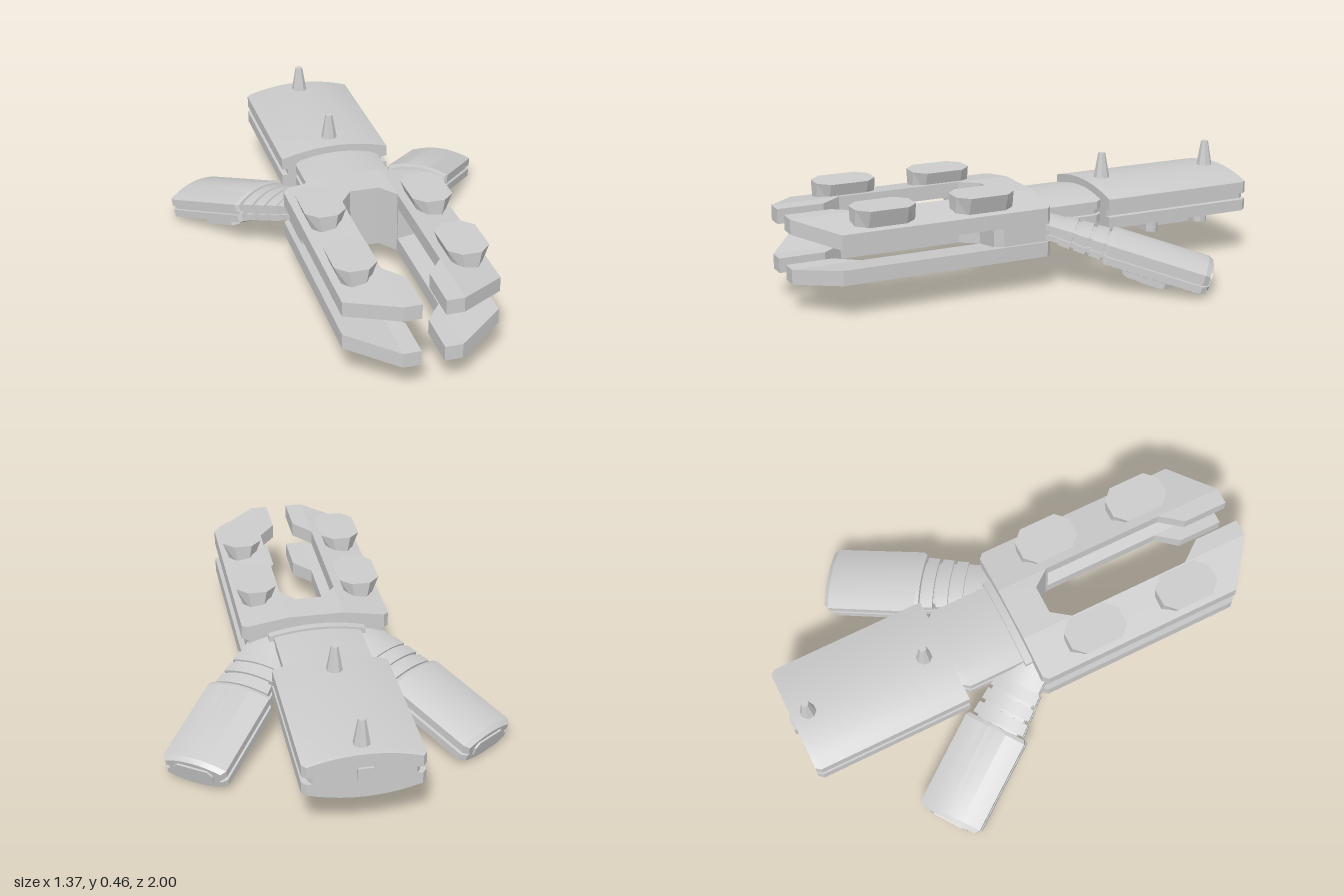
import * as THREE from 'three';
import { toCreasedNormals } from 'three/addons/utils/BufferGeometryUtils.js';

const grey = new THREE.MeshStandardMaterial({ color: 0xcccccc });
const FOLD = 0.115; // half width of the level middle of the fork plates

function add(parent, name, geometry, x = 0, y = 0, z = 0) {
  const mesh = new THREE.Mesh(geometry, grey);
  mesh.name = name;
  mesh.position.set(x, y, z);
  parent.add(mesh);
  return mesh;
}

const box = (w, h, d) => new THREE.BoxGeometry(w, h, d);

// Horizontal plate from an [x, z] outline; place(point, isTop) moves each vertex
function plate(outline, place) {
  const shape = new THREE.Shape(outline.map(([x, z]) => new THREE.Vector2(x, -z)));
  const g = new THREE.ExtrudeGeometry(shape, { depth: 1, bevelEnabled: false });
  g.rotateX(-Math.PI / 2);
  const pos = g.attributes.position, p = new THREE.Vector3();
  for (let i = 0; i < pos.count; i++) {
    p.fromBufferAttribute(pos, i);
    place(p, p.y > 0.5);
    pos.setXYZ(i, p.x, p.y, p.z);
  }
  g.computeVertexNormals();
  return g;
}

// Plate whose top and bottom slope away outside the fold
const folded = (outline, bottom, top, bottomSlope, topSlope) => plate(outline, (p, isTop) => {
  const out = Math.max(0, Math.abs(p.x) - FOLD);
  p.y = isTop ? top + topSlope * out : bottom + bottomSlope * out;
});

// Hull section: arched top and bottom, straight sides with a groove along each
function hullSection(w, top, edge, groove, inset) {
  const s = new THREE.Shape();
  s.moveTo(w, -edge);
  s.lineTo(w, -groove);
  s.lineTo(w - inset, -groove);
  s.lineTo(w - inset, groove);
  s.lineTo(w, groove);
  s.lineTo(w, edge);
  s.quadraticCurveTo(0, 2 * top - edge, -w, edge);
  s.lineTo(-w, groove);
  s.lineTo(-w + inset, groove);
  s.lineTo(-w + inset, -groove);
  s.lineTo(-w, -groove);
  s.lineTo(-w, -edge);
  s.quadraticCurveTo(0, edge - 2 * top, w, -edge);
  return s;
}

// Section swept along z through layers [z, scaleX, scaleY], with z rising
function loft(section, layers) {
  const n = layers.length - 1;
  const g = new THREE.ExtrudeGeometry(section, { depth: n, steps: n, bevelEnabled: false, curveSegments: 10 });
  const pos = g.attributes.position;
  for (let i = 0; i < pos.count; i++) {
    const [z, sx, sy] = layers[Math.round(pos.getZ(i))];
    pos.setXYZ(i, pos.getX(i) * sx, pos.getY(i) * sy, z);
  }
  return toCreasedNormals(g, 0.35);
}

function chamferedRect(x, z, w, d, c) {
  return [[x - w + c, z - d], [x + w - c, z - d], [x + w, z - d + c], [x + w, z + d - c],
    [x + w - c, z + d], [x - w + c, z + d], [x - w, z + d - c], [x - w, z - d + c]];
}

function buildFork() {
  const fork = new THREE.Group();
  fork.name = 'fork';
  const arm = [[FOLD, -0.02], [0.285, -0.02], [0.305, 0], [0.305, 0.86], [FOLD, 1]];
  const tip = [[0.045, 0.81], [FOLD, 0.72], [FOLD, 1], [0.045, 1]];
  const bridge = [[-FOLD, -0.02], [FOLD, -0.02], [FOLD, 0.2], [0.06, 0.125], [-0.06, 0.125], [-FOLD, 0.2]];
  const coreSide = [[FOLD, -0.02], [0.28, -0.02], [0.28, 0.18], [0.25, 0.21], [FOLD, 0.21]];
  const mirror = (outline, side) => outline.map(([x, z]) => [x * side, z]);

  // Two forked plates, the lower one upside down
  for (const [name, bottom, top, slope] of [['upper', 0.33, 0.39, -0.16], ['lower', 0.13, 0.19, 0.16]]) {
    add(fork, name + 'Bridge', folded(bridge, bottom, top, slope, slope));
    for (const side of [1, -1]) {
      add(fork, name + 'Arm', folded(mirror(arm, side), bottom, top, slope, slope));
      add(fork, name + 'ArmTip', folded(mirror(tip, side), bottom, top, slope, slope));
    }
  }

  // Core joining the plates
  add(fork, 'coreMiddle', folded(bridge, 0.19, 0.33, 0, 0));
  for (const side of [1, -1]) {
    add(fork, 'coreSide', folded(mirror(coreSide, side), 0.19, 0.33, 0.16, -0.16));
    // Flared pads on the upper arms
    for (const z of [0.25, 0.665]) {
      const cx = 0.218 * side;
      add(fork, 'pad', plate(chamferedRect(cx, z, 0.083, 0.123, 0.045), (p, isTop) => {
        if (!isTop) p.x = cx + (p.x - cx) * 0.62;
        p.y = isTop ? 0.435 : 0.35;
      }));
    }
  }
  return fork;
}

function buildHull() {
  const hull = new THREE.Group();
  hull.name = 'hull';
  hull.position.y = 0.275;
  add(hull, 'rearHull', loft(hullSection(0.232, 0.096, 0.062, 0.014, 0.025),
    [[-0.99, 0.93, 0.97], [-0.97, 1, 1], [-0.32, 1, 1]]));
  add(hull, 'neck', loft(hullSection(0.18, 0.065, 0.045, 0.012, 0.02),
    [[-0.335, 0.8, 1], [-0.29, 1, 1], [-0.03, 1, 1]]));
  add(hull, 'neckFlange', loft(hullSection(0.2, 0.075, 0.05, 0.012, 0.02), [[-0.052, 1, 1], [-0.015, 1, 1]]));

  // Spikes on the back
  for (const z of [-0.41, -0.92]) {
    add(hull, 'spike', new THREE.CylinderGeometry(0.015, 0.036, 0.12, 8).rotateY(Math.PI / 8).toNonIndexed(), 0, 0.14, z)
      .geometry.computeVertexNormals();
  }
  add(hull, 'rearBoss', box(0.06, 0.055, 0.03), 0, 0.01, -0.985);
  add(hull, 'rearBossCap', box(0.03, 0.03, 0.02), 0, 0.01, -0.99);

  // Underside rack
  add(hull, 'rackFrontBar', plate(chamferedRect(0, -0.585, 0.15, 0.028, 0.02), (p, t) => { p.y = t ? -0.07 : -0.13; }));
  add(hull, 'rackRearBar', plate(chamferedRect(0, -0.825, 0.15, 0.032, 0.02), (p, t) => { p.y = t ? -0.07 : -0.115; }));
  for (const x of [-0.06, 0, 0.06]) add(hull, 'rackRib', box(0.035, 0.06, 0.22), x, -0.098, -0.69);
  return hull;
}

// Side pod pointing along its own -z
function buildPod(side) {
  const pod = new THREE.Group();
  pod.name = side > 0 ? 'leftPod' : 'rightPod';
  pod.position.set(0.19 * side, 0.262, -0.03);
  pod.rotation.set(THREE.MathUtils.degToRad(-15.5), THREE.MathUtils.degToRad(-35) * side, 0, 'YXZ');

  add(pod, 'podBody', loft(hullSection(0.135, 0.066, 0.04, 0.009, 0.014),
    [[-0.705, 0.88, 0.85], [-0.685, 1, 1], [-0.295, 1, 1], [-0.28, 0.93, 0.92]]));
  add(pod, 'podNeck', loft(hullSection(0.09, 0.045, 0.03, 0.008, 0.012), [[-0.3, 1, 1], [0.05, 1, 1]]));

  // Stepped collars between neck and body
  [0.09, 0.155, 0.22].forEach((z, i) => {
    add(pod, 'podCollar', loft(hullSection(0.102 + i * 0.006, 0.053 + i * 0.002, 0.035, 0.009, 0.012),
      [[-z - 0.05, 1, 1], [-z, 0.97, 0.95]]));
  });

  // Framed end panel and under-mount
  const panel = new THREE.Shape(chamferedRect(0, 0, 0.085, 0.037, 0.02).map(([x, y]) => new THREE.Vector2(x, y)));
  add(pod, 'podEndPanel', new THREE.ExtrudeGeometry(panel, { depth: 0.02, bevelEnabled: false }), 0, 0, -0.713);
  add(pod, 'podMount', plate(chamferedRect(0, -0.47, 0.09, 0.1, 0.025), (p, t) => { p.y = t ? -0.05 : -0.08; }));
  add(pod, 'podMountFoot', box(0.1, 0.03, 0.09), 0, -0.082, -0.49);
  return pod;
}

export function createModel() {
  const model = new THREE.Group();
  model.name = 'forkedShip';
  model.add(buildFork(), buildHull(), buildPod(1), buildPod(-1));
  return model;
}
